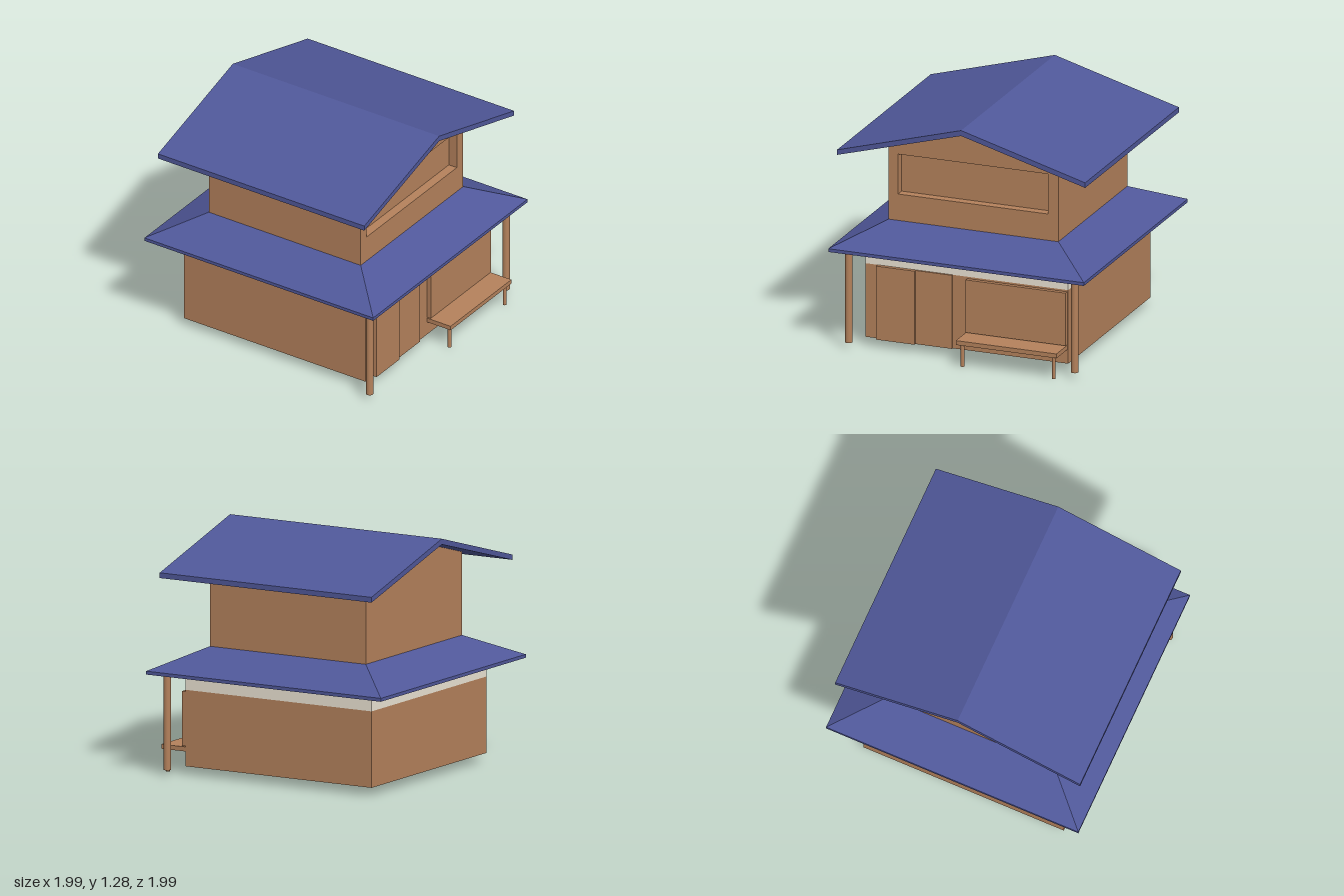
import * as THREE from 'three';

const mat = (color, opts = {}) => new THREE.MeshStandardMaterial({ color, ...opts });
const wood = mat(0xb5825c);
const cream = mat(0xede5d5);
const roofBlue = mat(0x50589a, { flatShading: true });

export function createModel() {
  const house = new THREE.Group();
  house.name = 'house';

  const add = (name, geometry, material, x = 0, y = 0, z = 0) => {
    const mesh = new THREE.Mesh(geometry, material);
    mesh.name = name;
    mesh.position.set(x, y, z);
    house.add(mesh);
    return mesh;
  };
  // Box given by its minimum and maximum corners
  const box = (name, material, [x0, y0, z0], [x1, y1, z1]) =>
    add(name, new THREE.BoxGeometry(x1 - x0, y1 - y0, z1 - z0), material,
      (x0 + x1) / 2, (y0 + y1) / 2, (z0 + z1) / 2);
  // Upright round post standing from y0 to y1
  const post = (name, r, x, z, y0, y1) =>
    add(name, new THREE.CylinderGeometry(r, r, y1 - y0, 12), wood, x, (y0 + y1) / 2, z);
  // Outline in x and y extruded from z0 to z1
  const prism = (name, material, shape, z0, z1) =>
    add(name, new THREE.ExtrudeGeometry(shape, { depth: z1 - z0, bevelEnabled: false }),
      material, 0, 0, z0);
  const outline = (pts) => new THREE.Shape(pts.map(([x, y]) => new THREE.Vector2(x, y)));

  // Ground floor with its pale band
  const g = 0.57;
  box('groundFloor', wood, [-g, 0.045, -g], [g, 0.45, g]);
  box('paleBand', cream, [-g, 0.45, -g], [g, 0.612, g]);

  // Sliding door leaves and shop window on the front
  box('leftDoorLeaf', wood, [-0.5, 0.045, g - 0.01], [-0.285, 0.45, 0.592]);
  box('rightDoorLeaf', wood, [-0.285, 0.045, g - 0.01], [-0.08, 0.45, 0.58]);
  box('lowerWindow', wood, [0.003, 0.15, g - 0.01], [0.565, 0.44, 0.593]);

  // Sloping skirt roof: a four-sided ring
  const skirt = [[0.477, 0.655], [0.718, 0.54], [0.718, 0.558], [0.477, 0.675], [0.46, 0.675]]
    .map(([r, y]) => new THREE.Vector2(r * Math.SQRT2, y));
  add('skirtRoof', new THREE.LatheGeometry(skirt, 4, Math.PI / 4), roofBlue);

  // Upper floor with gables, the front wall pierced for a recessed window
  const u = 0.477;
  const gable = [[-u, 0.62], [u, 0.62], [u, 1.118], [0, 1.252], [-u, 1.118]];
  prism('upperFloor', wood, outline(gable), -u, u - 0.05);
  const frontWall = outline(gable);
  frontWall.holes.push(new THREE.Path(
    [[-0.424, 0.82], [-0.424, 1.04], [0.418, 1.04], [0.418, 0.82]]
      .map(([x, y]) => new THREE.Vector2(x, y))));
  prism('upperFrontWall', wood, frontWall, u - 0.05, u);

  // Gabled main roof
  const e = 0.697;
  prism('mainRoof', roofBlue, outline([
    [-e, 1.055], [0, 1.25], [e, 1.055], [e, 1.083], [0, 1.28], [-e, 1.083],
  ]), -0.648, 0.648);

  // Porch posts
  for (const side of [-1, 1]) post('porchPost', 0.02, side * 0.635, 0.64, 0.03, 0.585);

  // Bench against the front wall
  box('benchSeat', wood, [0, 0.122, g], [0.565, 0.146, 0.72]);
  for (const x of [0.027, 0.54]) post('benchLeg', 0.01, x, 0.695, 0, 0.125);

  // The house stands turned on its plot
  house.rotation.y = THREE.MathUtils.degToRad(33.4);
  const model = new THREE.Group();
  model.name = 'twoStoreyHouse';
  model.add(house);
  return model;
}
